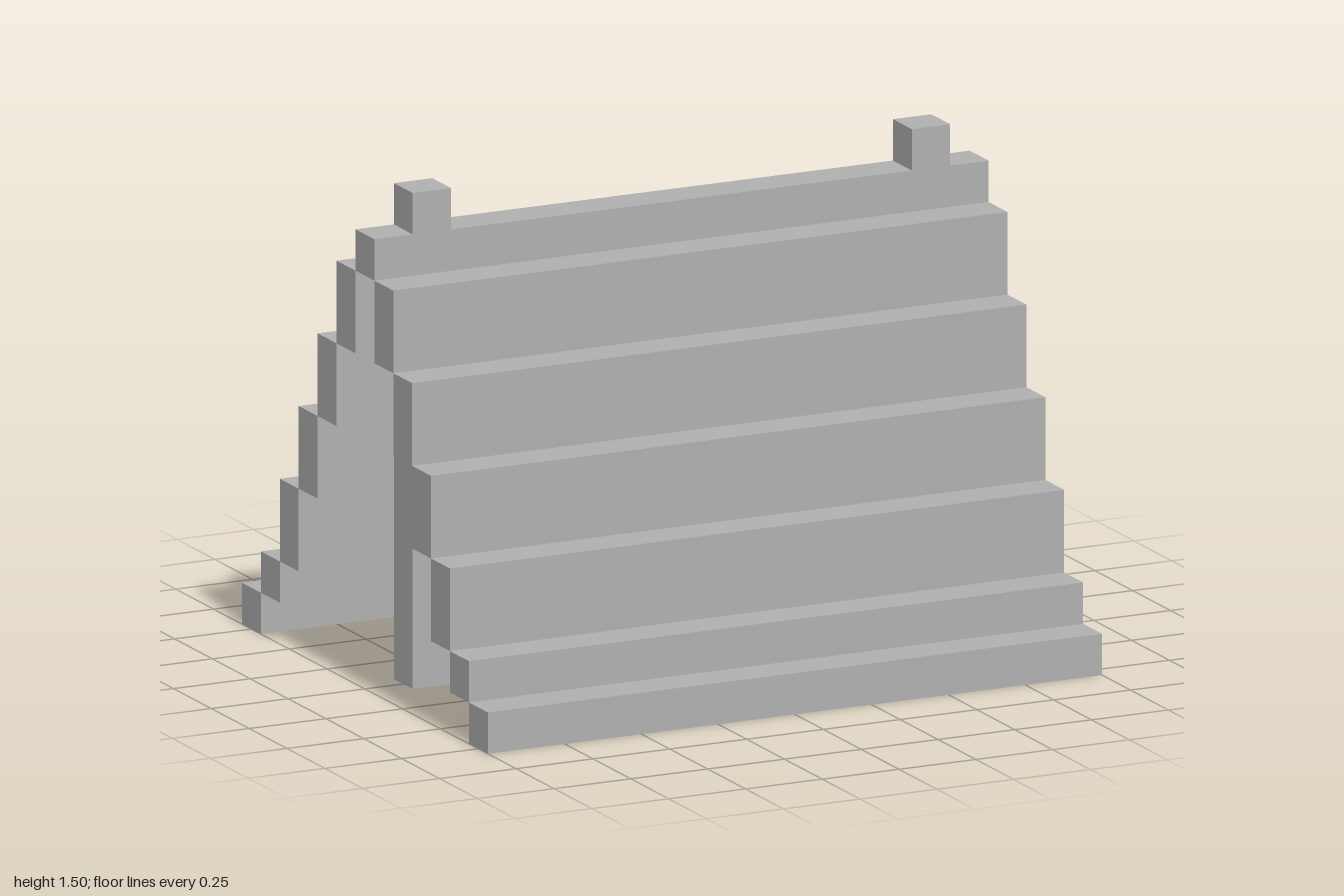
import * as THREE from 'three';

const UNIT = 0.125; // thickness of every plank and post

export function createModel() {
  const group = new THREE.Group();
  const grey = new THREE.MeshStandardMaterial({ color: 0xb0b0b0 });
  grey.name = 'plain grey';

  // Box standing on height y0 and reaching y1
  const addBox = (name, width, y0, y1, x, z) => {
    const mesh = new THREE.Mesh(new THREE.BoxGeometry(width, y1 - y0, UNIT), grey);
    mesh.name = name;
    mesh.position.set(x, (y0 + y1) / 2, z);
    group.add(mesh);
  };

  // Stepped roof planks, lowest and outermost first, mirrored front to back
  const levels = [0, 0.125, 0.25, 0.5, 0.75, 1, 1.25];
  for (const [label, side] of [['front', 1], ['back', -1]]) {
    for (let i = 0; i < 6; i++) {
      addBox(`${label}RoofPlank${i + 1}`, 2, levels[i], levels[i + 1], 0, side * (6 - i) * UNIT);
    }
  }

  // Ridge beam in three lengths, fitted between the posts
  addBox('ridgeBeam', 1.5, 1.25, 1.375, 0, 0);
  for (const [label, side] of [['left', 1], ['right', -1]]) {
    addBox(`${label}RidgeEnd`, UNIT, 1.25, 1.375, side * 0.9375, 0);
    // Upright post rising through the ridge
    addBox(`${label}Post`, UNIT, 0, 1.5, side * 0.8125, 0);
  }
  return group;
}
